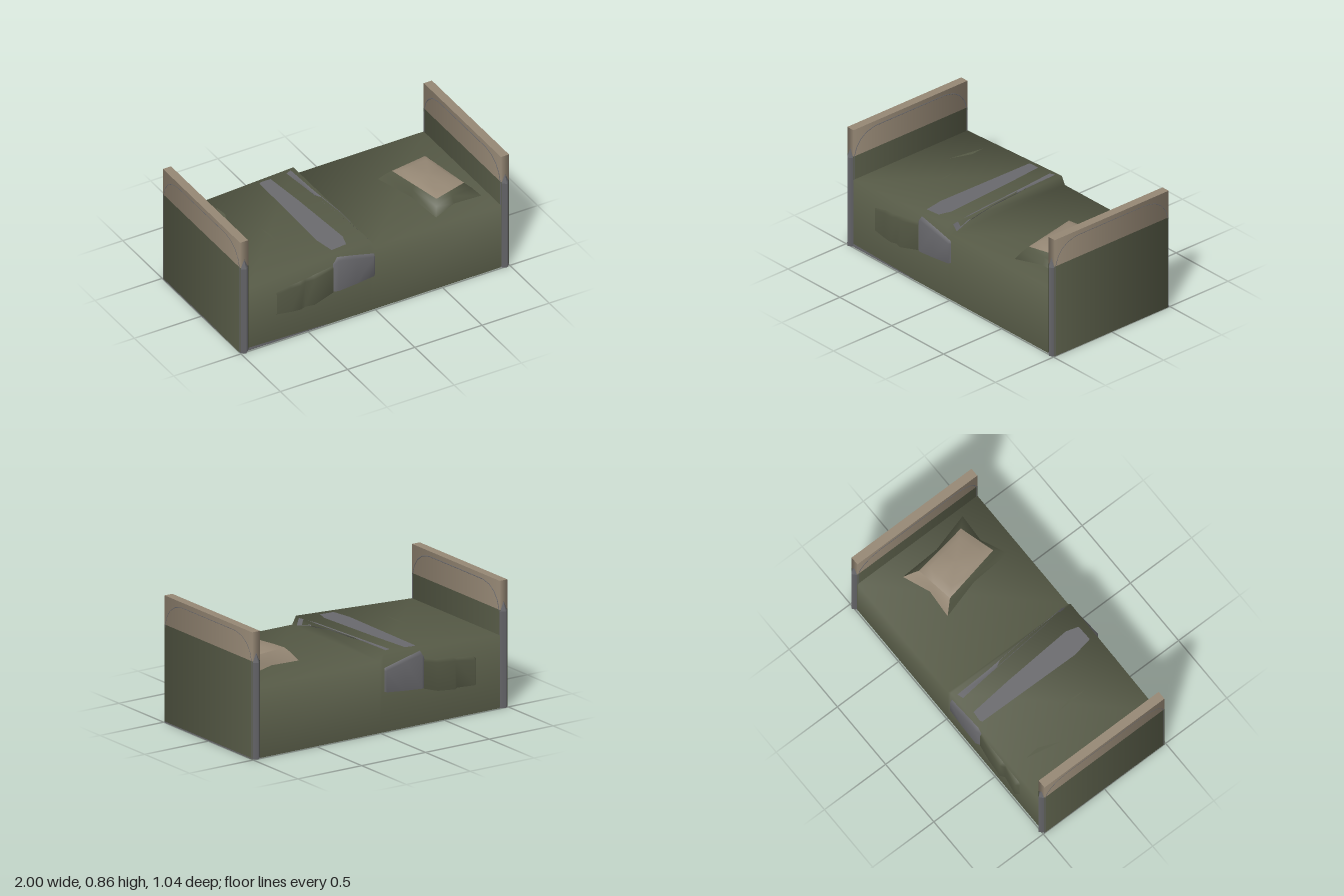
import * as THREE from 'three';

const mat = (name, color, side = THREE.DoubleSide) => {
  const m = new THREE.MeshStandardMaterial({ color, side });
  m.name = name;
  return m;
};

// Surface through rows of [x, y, z] points, with shared smooth normals
function loft(rows, closed = false) {
  const n = rows[0].length, index = [];
  for (let r = 0; r < rows.length - 1; r++) {
    for (let i = 0; i < (closed ? n : n - 1); i++) {
      const a = r * n + i, b = r * n + (i + 1) % n;
      index.push(a, b, a + n, b, b + n, a + n);
    }
  }
  const g = new THREE.BufferGeometry();
  g.setAttribute('position', new THREE.Float32BufferAttribute(rows.flat(2), 3));
  g.setIndex(index);
  g.computeVertexNormals();
  return g;
}

// Height of the bedding: the blanket rises gently, then drops to the mattress
const topLine = [[-0.94, 0.49], [-0.03, 0.535], [0, 0.48], [0.94, 0.48]];
function topHeight(x) {
  for (let i = 0; i < 3; i++) {
    const [x0, y0] = topLine[i], [x1, y1] = topLine[i + 1];
    if (x <= x1) return y0 + (y1 - y0) * (x - x0) / (x1 - x0);
  }
  return 0.48;
}

// Flat patch lying on the bedding, outlined in [x, z]
function patch(points, lift) {
  const shape = new THREE.Shape(points.map(([x, z]) => new THREE.Vector2(x, -z)));
  const g = new THREE.ShapeGeometry(shape).rotateX(-Math.PI / 2);
  const p = g.attributes.position;
  for (let i = 0; i < p.count; i++) p.setY(i, topHeight(p.getX(i)) + lift);
  g.computeVertexNormals();
  return g;
}

// Hanging cloth: columns of [x, bottom, top, how far out]
const flap = (cols, s) => loft(cols.map(([x, b, t, out]) => [
  [x, t, s * 0.488], [x, t - 0.02, s * out], [x, b, s * out], [x, b, s * 0.488],
]));

// Box whose upright corners are shaded softly
function softBox(w, h, d) {
  const g = new THREE.BoxGeometry(w, h, d);
  const p = g.attributes.position, n = g.attributes.normal;
  for (let i = 0; i < p.count; i++) {
    if (Math.abs(n.getY(i)) > 0.5) continue;
    const v = new THREE.Vector3(Math.sign(p.getX(i)), 0, 0.6 * Math.sign(p.getZ(i))).normalize();
    n.setXYZ(i, v.x, v.y, v.z);
  }
  return g;
}

export function createModel() {
  const root = new THREE.Group();
  root.name = 'bed';
  const green = mat('olive cloth', 0x565a46);
  const tan = mat('tan panel', 0x968875);
  const grey = mat('grey metal', 0x6a6a6e);
  const dark = mat('dark rim', 0x353538);
  const add = (name, geometry, material, x = 0, y = 0, z = 0) => {
    const m = new THREE.Mesh(geometry, material);
    m.name = name;
    m.position.set(x, y, z);
    root.add(m);
    return m;
  };

  // Mattress and blanket shell, open underneath
  add('beddingShell', loft(topLine.map(([x, y]) => [
    [x, 0, 0.49], [x, y, 0.49], [x, y, -0.49], [x, 0, -0.49],
  ].reverse())), green);

  // End boards with arched trim and corner posts
  const half = [[0.485, 0.004], [0.485, 0.65], [0.463, 0.72], [0.427, 0.768], [0.375, 0.803], [0.3, 0.82]];
  const arch = [...half, ...half.map(([z, y]) => [-z, y]).reverse()];
  for (const s of [-1, 1]) {
    add('boardLower', softBox(0.06, 0.66, 0.98), green, s * 0.97, 0.33);
    add('boardUpper', softBox(0.06, 0.195, 0.98), tan, s * 0.97, 0.7575);
    add('boardFoot', new THREE.BoxGeometry(0.062, 0.008, 0.984), grey, s * 0.969, 0.004);
    for (const face of [0.9405, 0.9985]) {
      const path = new THREE.CurvePath();
      for (let i = 0; i < arch.length - 1; i++) {
        path.add(new THREE.LineCurve3(
          new THREE.Vector3(s * face, arch[i][1], arch[i][0]),
          new THREE.Vector3(s * face, arch[i + 1][1], arch[i + 1][0])));
      }
      add('archTrim', new THREE.TubeGeometry(path, 150, 0.0035, 4), grey);
    }
    for (const z of [-0.488, 0.488]) {
      add('cornerPost', new THREE.CylinderGeometry(0.03, 0.03, 0.65, 4), grey, s * 0.97, 0.325, z).scale.z = 0.85;
      add('postTip', new THREE.ConeGeometry(0.03, 0.07, 4), grey, s * 0.97, 0.685, z).scale.z = 0.85;
    }
  }

  // Blanket stripes across the top
  add('wideStripe', patch([[-0.305, -0.45], [-0.29, -0.46], [-0.22, -0.455], [-0.19, -0.15],
    [-0.155, 0.35], [-0.18, 0.435], [-0.29, 0.44], [-0.315, 0.3]], 0.004), grey);
  add('narrowStripe', patch([[-0.105, -0.45], [-0.065, -0.465], [-0.055, -0.2], [-0.03, 0.1], [-0.015, 0.33],
    [0, 0.44], [-0.025, 0.45], [-0.04, 0.28], [-0.06, 0.05], [-0.085, -0.25]], 0.005), grey);
  // Small wrinkles
  add('wrinkle', patch([[-0.67, -0.38], [-0.66, -0.28], [-0.72, -0.13]], 0.006), green);
  add('wrinkle', patch([[-0.55, -0.02], [-0.53, 0.08], [-0.54, 0.2]], 0.006), green);

  // Blanket sides hanging over both long edges
  const sides = {
    1: [[-0.73, 0.21, 0.38, 0.494], [-0.63, 0.2, 0.4, 0.503], [-0.56, 0.2, 0.405, 0.512], [-0.52, 0.2, 0.41, 0.498],
      [-0.46, 0.205, 0.42, 0.516], [-0.31, 0.24, 0.44, 0.498]],
    [-1]: [[-0.75, 0.21, 0.38, 0.496], [-0.73, 0.2, 0.39, 0.52], [-0.6, 0.2, 0.4, 0.497], [-0.57, 0.2, 0.41, 0.52],
      [-0.44, 0.21, 0.42, 0.509], [-0.34, 0.24, 0.44, 0.498]],
  };
  const stripe = [[-0.311, 0.243, 0.46, 0.493], [-0.28, 0.248, 0.5, 0.514], [-0.15, 0.258, 0.47, 0.513],
    [-0.01, 0.27, 0.435, 0.508], [0, 0.272, 0.43, 0.492]];
  for (const s of [-1, 1]) {
    add('hangingBlanket', flap(sides[s], s), green);
    add('hangingStripe', flap(stripe.map(([x, ...r]) => [s < 0 ? x - 0.035 : x, ...r]), s), grey);
  }

  // Pillow: eight-point rings with drawn-out corners
  const base = [[0.41, -0.17], [0.8, -0.23], [0.89, 0.33], [0.51, 0.4]];
  const crown = [[0.475, -0.1], [0.745, -0.14], [0.805, 0.25], [0.56, 0.32]];
  const mix = (a, b, t) => [a[0] + (b[0] - a[0]) * t, a[1] + (b[1] - a[1]) * t];
  const centre = [0.645, 0.08];
  const ring = (pts, y, pinch) => pts.flatMap((p, i) => {
    const m = mix(mix(p, pts[(i + 1) % 4], 0.5), centre, pinch);
    return [[p[0], y, p[1]], [m[0], y, m[1]]];
  });
  const low = ring(base, 0.478, 0.16);
  const middle = ring(base.map((p, i) => mix(p, crown[i], 0.55)), 0.53, 0.08);
  const upper = ring(crown, 0.562, 0);
  const inner = ring(crown.map((p) => mix(p, centre, 0.3)), 0.582, 0);
  const peak = inner.map(() => [centre[0], 0.583, centre[1]]);
  const part = (a, b) => [low, middle, upper].map((r) => [...r, r[0]].slice(a, b).reverse());
  add('pillowBack', loft(part(0, 3)), tan);
  add('pillowSides', loft(part(2, 9)), green);
  add('pillowTop', loft([upper, inner, peak].map((r) => [...r].reverse()), true), tan);

  // Tray frame and panel under the mattress
  add('underPanel', new THREE.BoxGeometry(1.87, 0.03, 0.97), tan, 0, 0.435);
  for (const s of [-1, 1]) {
    add('frameRail', new THREE.BoxGeometry(1.87, 0.12, 0.035), grey, 0, 0.365, s * 0.468);
    add('frameEnd', new THREE.BoxGeometry(0.035, 0.12, 0.97), grey, s * 0.92, 0.365);
    add('rimRail', new THREE.BoxGeometry(1.87, 0.025, 0.035), dark, 0, 0.295, s * 0.468);
    add('rimEnd', new THREE.BoxGeometry(0.035, 0.025, 0.97), dark, s * 0.92, 0.295);
  }
  for (const [x, r] of [[0.31, 0.02], [-0.69, 0.038]]) {
    add('underHole', new THREE.CylinderGeometry(r, r, 0.006, 12), dark, x, 0.419, 0.14);
  }

  // Thin metal sliver along the lower front edge
  const sliver = new THREE.Shape([[-0.94, 0], [-0.36, 0], [-0.36, 0.006], [-0.94, 0.022]].map((p) => new THREE.Vector2(...p)));
  add('lowerEdge', new THREE.ShapeGeometry(sliver), grey, 0, 0, 0.492);

  return root;
}
